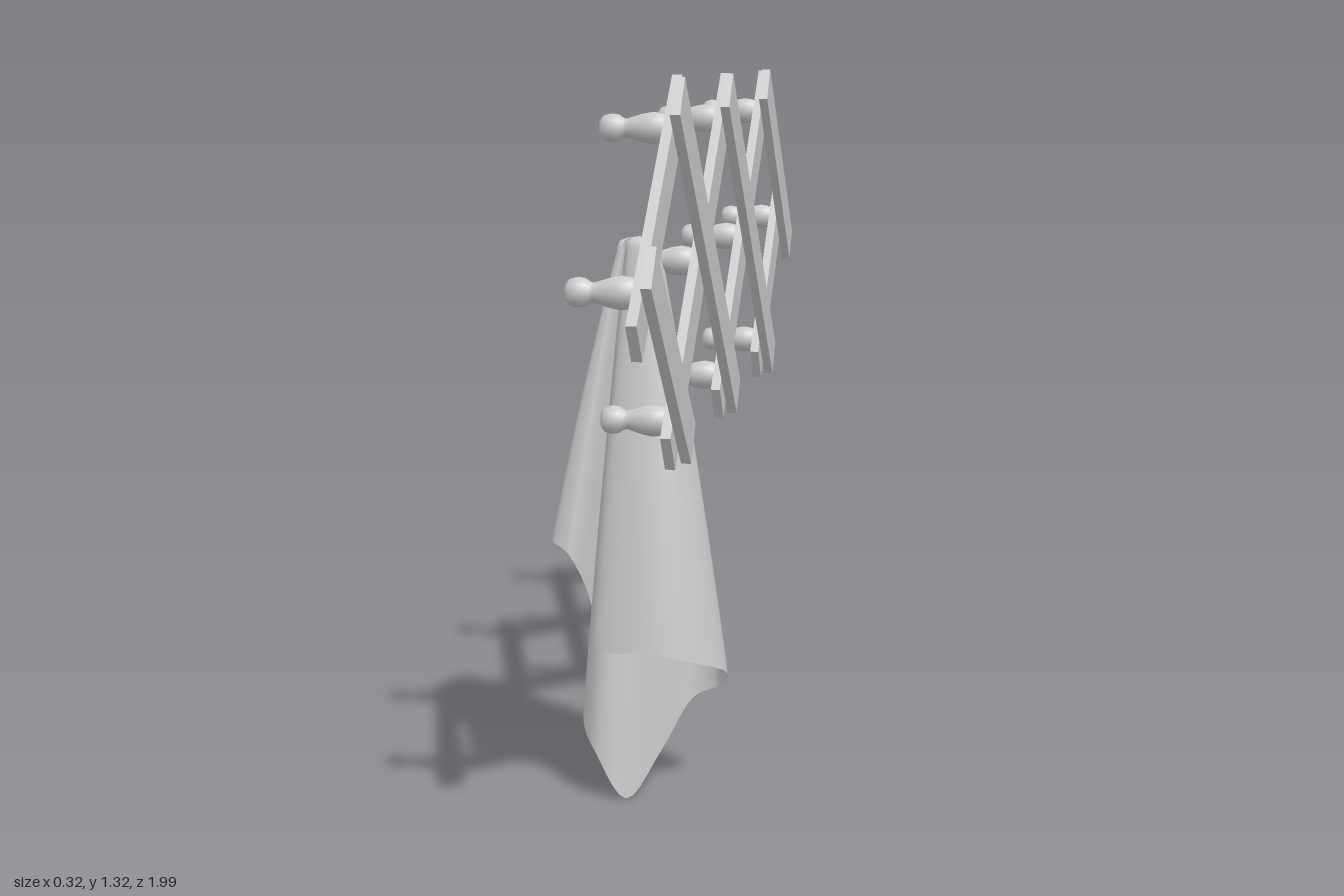
import * as THREE from 'three';

const grey = new THREE.MeshStandardMaterial({ color: 0xcccccc });
const cloth = new THREE.MeshStandardMaterial({ color: 0xcccccc, side: THREE.DoubleSide });

// Lattice joints: column k along z, row -1 / 0 / 1 in height
const STEP = 0.295, MID = 0.99, RISE = 0.2475;
const joint = (k, row) => ({ z: k * STEP, y: MID + row * RISE });

// Flat slat through two joints, overhanging each by its own amount
function slat(name, x, a, b, overA, overB) {
  const dz = b.z - a.z, dy = b.y - a.y, len = Math.hypot(dz, dy);
  const mesh = new THREE.Mesh(new THREE.BoxGeometry(0.0175, 0.08, len + overA + overB), grey);
  const shift = (overB - overA) / 2 / len;
  mesh.position.set(x, (a.y + b.y) / 2 + dy * shift, (a.z + b.z) / 2 + dz * shift);
  mesh.rotation.x = -Math.atan2(dy, dz);
  mesh.name = name;
  return mesh;
}

// Turned peg with a rounded head, pointing to -x
const pegProfile = [
  [0.022, 0], [0.026, 0.012], [0.028, 0.025], [0.025, 0.042], [0.02, 0.058], [0.016, 0.07],
  [0.017, 0.075], [0.023, 0.084], [0.025, 0.096], [0.022, 0.108], [0.014, 0.115], [0, 0.117],
].map(([r, h]) => new THREE.Vector2(r, h));
const pegGeometry = new THREE.LatheGeometry(pegProfile, 10);

function createTowel() {
  // Hem loop: a large open fold in front, a hanging corner, then pleats behind
  const hem = new THREE.CatmullRomCurve3([
    [-0.07, 0.29, 0.405], [0.03, 0.29, 0.425], [0.11, 0.27, 0.4], [0.157, 0.235, 0.32],
    [0.135, 0.19, 0.25], [0.085, 0.165, 0.245], [0.035, 0.08, 0.31], [-0.02, 0.005, 0.385],
    [-0.075, 0.09, 0.39], [-0.105, 0.14, 0.355], [-0.09, 0.32, 0.32],
    [-0.125, 0.46, 0.385], [-0.16, 0.48, 0.365], [-0.125, 0.46, 0.3],
    [-0.105, 0.45, 0.2], [-0.07, 0.42, 0.17], [-0.04, 0.4, 0.21], [-0.02, 0.38, 0.28],
    [0.0, 0.38, 0.2], [0.045, 0.38, 0.155], [0.085, 0.39, 0.18], [0.07, 0.4, 0.25],
    [0.0, 0.4, 0.31], [-0.085, 0.35, 0.35],
  ].map((p) => new THREE.Vector3(...p)), true, 'centripetal');

  const cx = -0.008, cz = 0.305, K = 0.25, N = 120, M = 18;
  // Rings: [scale, drop from gather to hem, extra height]; the first ones close the top over the peg
  const rings = [[0.001, 0, 0.027], [K * 0.5, 0, 0.025], [K * 0.85, 0, 0.02], [K * 0.98, 0, 0.01]];
  for (let i = 0; i <= M; i++) {
    const s = i / M;
    rings.push([K + (1 - K) * (s + 0.15 * s * (1 - s)), s, 0]);
  }
  const pos = [], index = [];
  rings.forEach(([scale, s, lift], r) => {
    for (let j = 0; j < N; j++) {
      const h = hem.getPoint(j / N);
      pos.push(cx + (h.x - cx) * scale, 1.007 + (h.y - 1.007) * s + lift, cz + (h.z - cz) * scale);
      if (r === 0) continue;
      const k = (j + 1) % N, a = (r - 1) * N, b = r * N;
      index.push(a + j, b + j, b + k, a + j, b + k, a + k);
    }
  });
  const geometry = new THREE.BufferGeometry();
  geometry.setAttribute('position', new THREE.Float32BufferAttribute(pos, 3));
  geometry.setIndex(index);
  geometry.computeVertexNormals();
  const towel = new THREE.Mesh(geometry, cloth);
  towel.name = 'towel';
  return towel;
}

export function createModel() {
  const model = new THREE.Group();
  model.name = 'peg rack with towel';

  // Two layers of crossing slats; the mirrored layer sits behind the pegs
  const rack = new THREE.Group();
  rack.name = 'lattice';
  for (const [side, x, name] of [[1, 0.118, 'outerSlat'], [-1, 0.1005, 'innerSlat']]) {
    const add = (k0, r0, k1, r1, o0, o1) =>
      rack.add(slat(name, x, joint(side * k0, r0), joint(side * k1, r1), o0, o1));
    add(3, 0, 2, -1, 0.07, 0.075);
    add(2, 1, 0, -1, 0.085, 0.075);
    add(0, 1, -2, -1, 0.085, 0.075);
    add(-2, 1, -3, 0, 0.09, 0.11);
  }
  model.add(rack);

  // A peg on every joint
  const pegs = new THREE.Group();
  pegs.name = 'pegs';
  for (let k = -3; k <= 3; k++) {
    for (const row of k % 2 ? [0] : [-1, 1]) {
      const { y, z } = joint(k, row);
      const peg = new THREE.Mesh(pegGeometry, grey);
      peg.name = 'peg';
      peg.rotation.z = Math.PI / 2;
      peg.position.set(0.092, y, z);
      pegs.add(peg);
    }
  }
  model.add(pegs, createTowel());
  return model;
}
